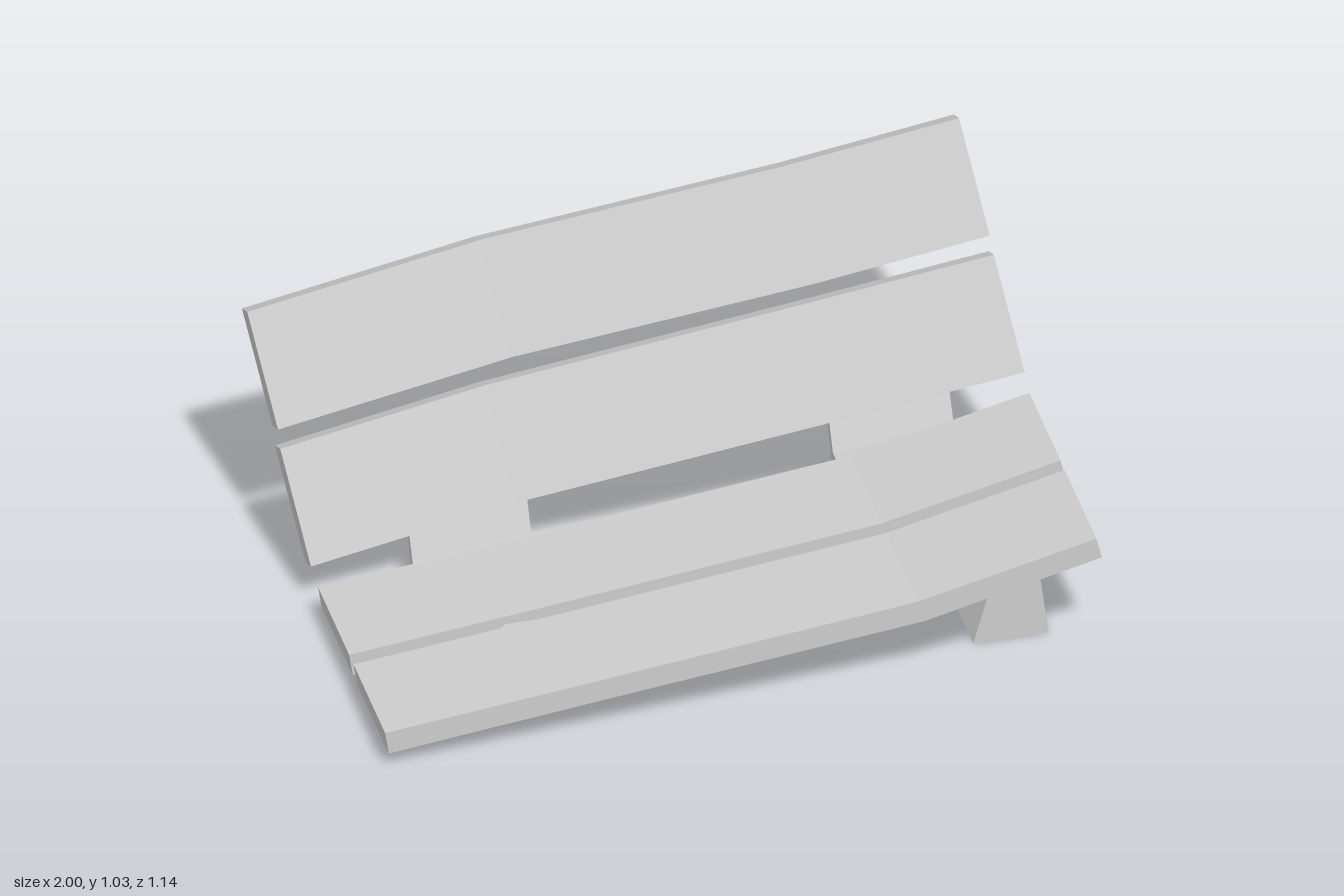
import * as THREE from 'three';

const material = new THREE.MeshStandardMaterial({ color: 0xcccccc, flatShading: true });

// Skins a row of four-cornered sections and caps both ends.
function loft(name, sections) {
  const pos = [];
  const quad = (a, b, c, d) => [a, b, c, a, c, d].forEach(p => pos.push(...p));
  for (let i = 0; i < sections.length - 1; i++) {
    const s = sections[i], t = sections[i + 1];
    for (let j = 0; j < 4; j++) {
      const k = (j + 1) % 4;
      quad(s[j], s[k], t[k], t[j]);
    }
  }
  quad(...[...sections[0]].reverse());
  quad(...sections[sections.length - 1]);
  const geometry = new THREE.BufferGeometry();
  geometry.setAttribute('position', new THREE.Float32BufferAttribute(pos, 3));
  geometry.computeVertexNormals();
  const mesh = new THREE.Mesh(geometry, material);
  mesh.name = name;
  return mesh;
}

// Seat plank: bent upward near its left end, [x top, y top, x bottom, y bottom].
const seatLine = [
  [-0.905, 0.115, -0.895, 0.05],
  [-0.33, 0.182, -0.32, 0.12],
  [0.51, 0.283, 0.53, 0.22],
  [0.985, 0.398, 1.0, 0.338],
];
function seatPlank(name, back, front) {
  return loft(name, seatLine.map(([xt, yt, xb, yb]) => [
    [xt, yt, back], [xt, yt, front], [xb, yb, front], [xb, yb, back],
  ]));
}

// Back slat: leaning board that follows its warped top front edge.
function backSlat(name, topEdge) {
  return loft(name, topEdge.map(([x, y, z]) => [
    [x, y - 0.025, z - 0.055],
    [x, y, z],
    [x + 0.045, y - 0.28, z + 0.142],
    [x + 0.045, y - 0.305, z + 0.087],
  ]));
}

// Bracket: strip under the seat that folds up behind the back, [y in, z in, y out, z out].
const bracketLine = [
  [0.30, 0.01, 0.27, 0.015],
  [0.295, -0.185, 0.265, -0.2],
  [0.44, -0.262, 0.42, -0.28],
];
function bracket(name, x0, x1, drop) {
  const slope = 0.13 * (x1 - x0);
  return loft(name, bracketLine.map(([yi, zi, yo, zo]) => [
    [x0, yi - drop - slope, zi], [x1, yi - drop, zi],
    [x1, yo - drop, zo], [x0, yo - drop - slope, zo],
  ]));
}

// Leg: wedge block that narrows upward.
function leg(name, height, topHalf, shift) {
  const ring = (y, h, cx, d) => [
    [cx - h, y, d], [cx + h, y, d], [cx + h, y, -d], [cx - h, y, -d],
  ];
  return loft(name, [ring(0, 0.1, 0, 0.16), ring(height, topHalf, shift, 0.158)]);
}

export function createModel() {
  const bench = new THREE.Group();
  bench.name = 'bench';

  bench.add(seatPlank('frontSeatPlank', 0.245, 0.57));
  bench.add(seatPlank('rearSeatPlank', -0.12, 0.2));

  bench.add(backSlat('upperBackSlat', [
    [-1.0, 0.75, -0.48], [-0.37, 0.845, -0.515], [0.42, 0.964, -0.475], [0.89, 1.035, -0.475],
  ]));
  bench.add(backSlat('lowerBackSlat', [
    [-0.955, 0.425, -0.315], [-0.4, 0.51, -0.345], [0.42, 0.633, -0.32], [0.94, 0.71, -0.31],
  ]));

  bench.add(bracket('leftBracket', 0.48, 0.8, 0));
  bench.add(bracket('rightBracket', -0.635, -0.32, 0.17));

  const leftLeg = leg('leftLeg', 0.32, 0.035, 0.025);
  leftLeg.position.set(0.805, 0, 0.227);
  const rightLeg = leg('rightLeg', 0.14, 0.045, 0.015);
  rightLeg.position.set(-0.465, 0, 0.215);
  rightLeg.rotation.y = -0.69;
  bench.add(leftLeg, rightLeg);

  return bench;
}
